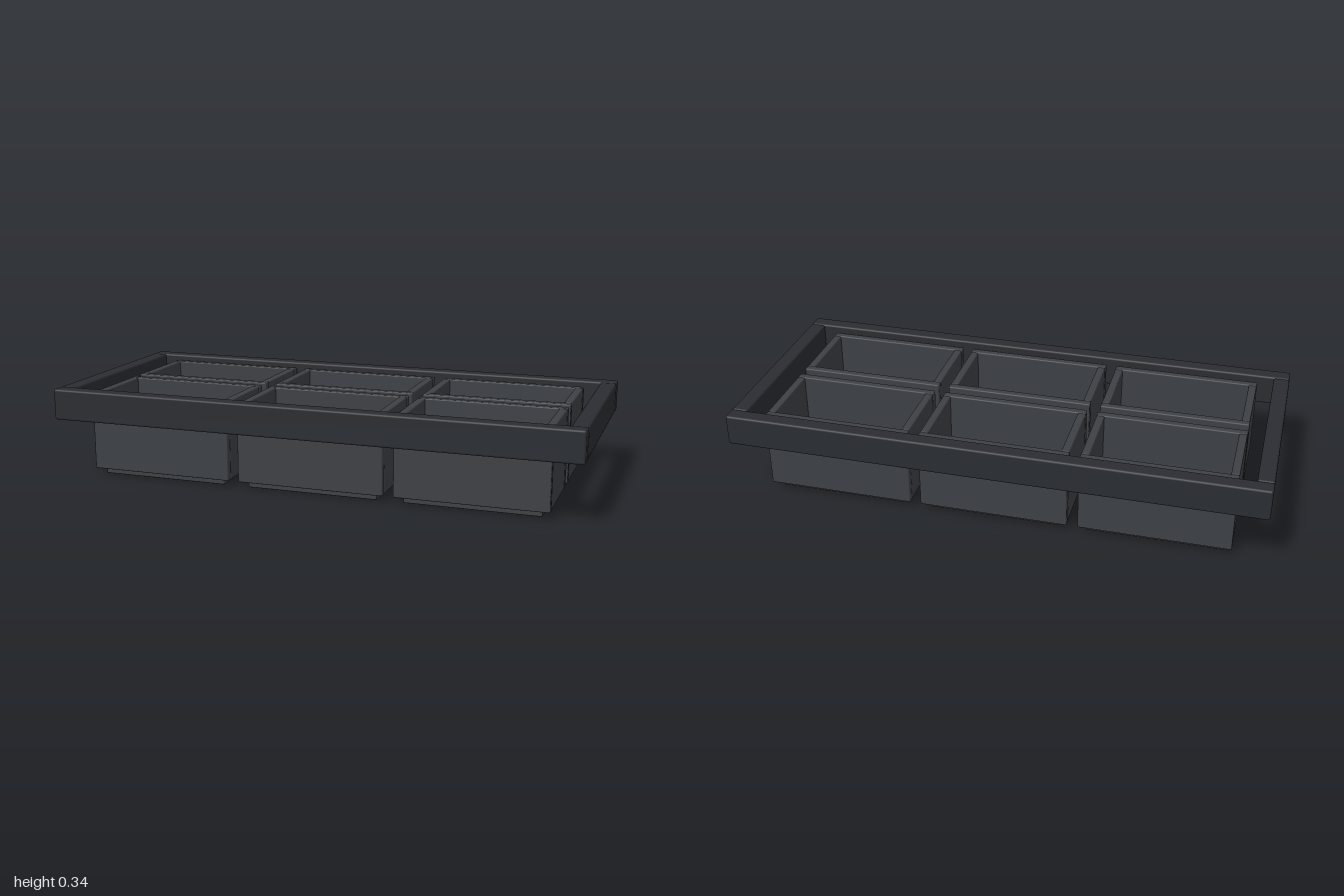
import * as THREE from 'three';
import { RoundedBoxGeometry } from 'three/addons/geometries/RoundedBoxGeometry.js';

const frameMaterial = new THREE.MeshStandardMaterial({ color: 0x2a2d32 });
const trayMaterial = new THREE.MeshStandardMaterial({ color: 0x3d4045 });

// Softly bevelled bar centred on x and z, spanning y0 to y1
function addBar(parent, name, material, [w, d], [y0, y1], x, z, bevel) {
  const mesh = new THREE.Mesh(new RoundedBoxGeometry(w, y1 - y0, d, 2, bevel), material);
  mesh.name = name;
  mesh.position.set(x, (y0 + y1) / 2, z);
  parent.add(mesh);
}

// Open tray: floor slab, two long walls and two end walls between them
function createTray() {
  const tray = new THREE.Group();
  tray.name = 'tray';
  const wallY = [0.025, 0.325];
  addBar(tray, 'trayFloor', trayMaterial, [0.5, 0.28], [0, 0.026], 0, 0, 0.004);
  for (const s of [-1, 1]) {
    addBar(tray, 'longWall', trayMaterial, [0.56, 0.03], wallY, 0, s * 0.155, 0.005);
    addBar(tray, 'endWall', trayMaterial, [0.03, 0.28], wallY, s * 0.264, 0, 0.005);
  }
  return tray;
}

export function createModel() {
  const model = new THREE.Group();
  model.name = 'trayRack';

  // Rectangular frame around the trays
  const frame = new THREE.Group();
  frame.name = 'frame';
  const railY = [0.226, 0.344];
  for (const s of [-1, 1]) {
    addBar(frame, 'longRail', frameMaterial, [2, 0.06], railY, 0, s * 0.409, 0.008);
    addBar(frame, 'endRail', frameMaterial, [0.06, 0.758], railY, s * 0.97, 0, 0.008);
  }
  model.add(frame);

  // Three by two grid of trays
  for (const x of [-0.6, 0, 0.6]) {
    for (const z of [-0.19, 0.19]) {
      const tray = createTray();
      tray.position.set(x, 0, z);
      model.add(tray);
    }
  }
  return model;
}
